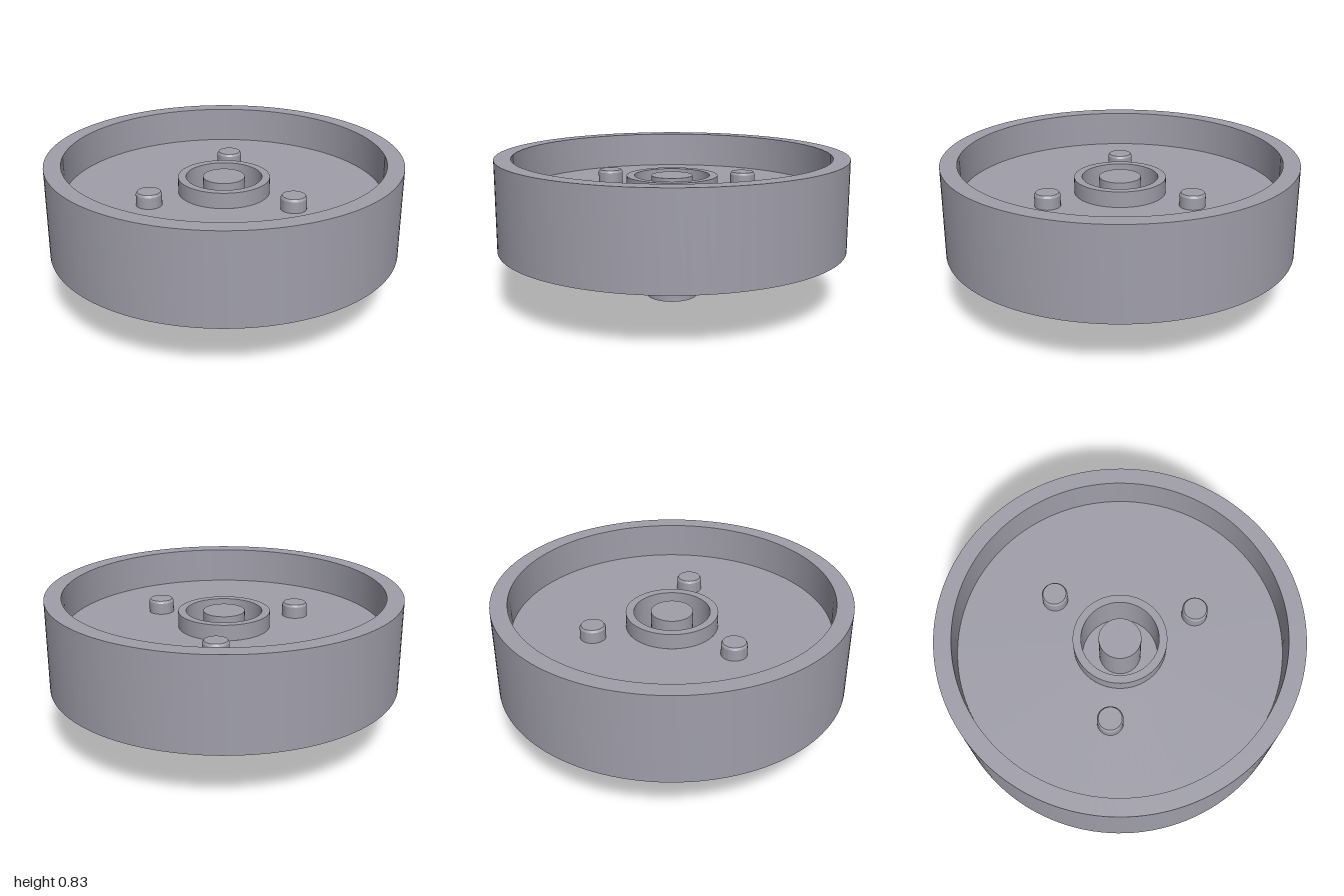
import * as THREE from 'three';
import { toCreasedNormals } from 'three/addons/utils/BufferGeometryUtils.js';

const material = new THREE.MeshStandardMaterial({ color: 0x9f9eaa });

// Turned part: [radius, height] profile, outside surface traced upward
function turned(name, profile, segments = 96) {
  const points = profile.map(([r, y]) => new THREE.Vector2(r, y));
  const geometry = toCreasedNormals(new THREE.LatheGeometry(points, segments), Math.PI / 7);
  const mesh = new THREE.Mesh(geometry, material);
  mesh.name = name;
  return mesh;
}

export function createModel() {
  const model = new THREE.Group();
  model.name = 'wheel';

  const webBottom = 0.52, webTop = 0.625, hubTop = 0.715, hubBottom = 0.37;

  // Hollow shaft with a blind bore, joined to the hub's underside
  model.add(turned('shaft', [
    [0, 0.5], [0.07, 0.5], [0.07, 0], [0.143, 0], [0.143, hubBottom],
  ]));

  // Lower hub boss
  model.add(turned('hubBoss', [
    [0.143, hubBottom], [0.35, hubBottom], [0.35, webBottom],
  ]));

  // Rim and web, open above and below
  model.add(turned('rimAndWeb', [
    [0.35, webBottom], [0.905, webBottom], [0.905, 0.312], [1, 0.312],
    [1, 0.832], [0.905, 0.832], [0.905, webTop], [0.26, webTop],
  ], 128));

  // Upper collar, annular recess and central post
  model.add(turned('hubCollar', [
    [0.26, webTop], [0.26, hubTop], [0.215, hubTop], [0.215, 0.46],
    [0.118, 0.46], [0.118, hubTop], [0, hubTop],
  ]));

  // Three pins through the web, chamfered on top
  for (let i = 0; i < 3; i++) {
    const angle = Math.PI + i * Math.PI * 2 / 3;
    const pin = turned('pin' + (i + 1), [
      [0, 0.298], [0.072, 0.298], [0.072, 0.69], [0.064, 0.703], [0, 0.703],
    ], 48);
    pin.position.set(0.457 * Math.cos(angle), 0, 0.457 * Math.sin(angle));
    model.add(pin);
  }

  return model;
}
